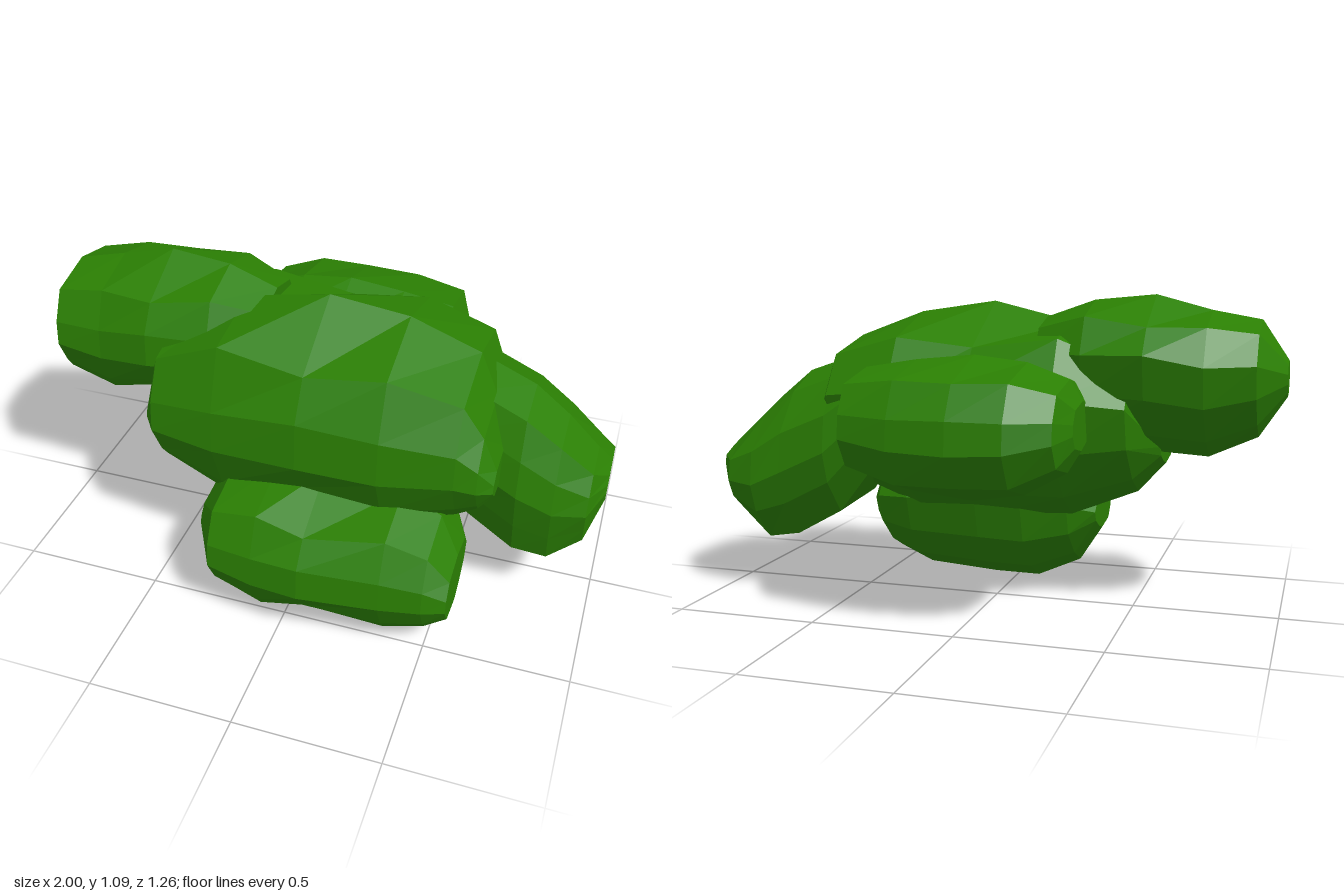
import * as THREE from 'three';

// Lumpy cross-sections as [z, y] in -1..1, from the upper front over the back to the front
const ROUND = [
  [0.74, 0.78], [-0.1, 1], [-0.74, 0.8], [-1, 0.3], [-0.96, -0.25],
  [-0.6, -0.76], [0, -1], [0.74, -0.74], [1, -0.2], [0.97, 0.25],
];
const KEELED = [
  [0.74, 0.8], [0, 1], [-0.72, 0.8], [-1, 0.3], [-0.86, -0.25],
  [-0.45, -0.74], [-0.05, -1], [0.7, -0.82], [0.82, -0.62], [1, -0.15], [0.96, 0.28],
];
const BOXY = [
  [0.74, 0.9], [0.08, 1], [-0.5, 0.78], [-0.93, 0.32], [-1, -0.15],
  [-0.86, -0.55], [-0.45, -1], [0.76, -0.92], [0.88, -0.5], [1, 0], [0.92, 0.45],
];

const leaf = new THREE.MeshStandardMaterial({ color: 0x2b8003, flatShading: true });

// Closed loft along x; each station is [x, yLow, yHigh, zBack, zFront, pinch],
// where pinch draws the corners of the section in towards its middle height
function clump(name, section, stations) {
  const n = section.length;
  const pos = [];
  const index = [];
  for (const [x, y0, y1, z0, z1, pinch = 0] of stations) {
    for (const [u, v] of section) {
      const corner = Math.abs(u) >= 0.7 && Math.abs(v) > 0.6;
      const h = corner ? v * (1 - pinch) : v;
      pos.push(x, (y0 + y1) / 2 + h * (y1 - y0) / 2, (z0 + z1) / 2 + u * (z1 - z0) / 2);
    }
  }
  for (let i = 0; i < stations.length - 1; i++) {
    for (let j = 0; j < n; j++) {
      const k = (j + 1) % n;
      const a = i * n + j, b = a + n, c = i * n + k, d = c + n;
      index.push(a, b, d, a, d, c);
    }
  }
  // End caps
  const first = stations[0], last = stations[stations.length - 1];
  for (const [x, y0, y1, z0, z1] of [first, last]) pos.push(x, (y0 + y1) / 2, (z0 + z1) / 2);
  const start = stations.length * n, end = start + 1, ring = start - n;
  for (let j = 0; j < n; j++) {
    const k = (j + 1) % n;
    index.push(start, j, k, end, ring + k, ring + j);
  }
  const geometry = new THREE.BufferGeometry();
  geometry.setAttribute('position', new THREE.Float32BufferAttribute(pos, 3));
  geometry.setIndex(index);
  geometry.computeVertexNormals();
  const mesh = new THREE.Mesh(geometry, leaf);
  mesh.name = name;
  return mesh;
}

export function createModel() {
  const group = new THREE.Group();
  group.name = 'foliage';

  group.add(clump('mainClump', KEELED, [
    [-0.59, 0.50, 0.62, -0.04, 0.26],
    [-0.50, 0.40, 0.90, -0.24, 0.40],
    [-0.27, 0.31, 0.99, -0.32, 0.43, -0.1],
    [0.03, 0.29, 1.06, -0.30, 0.455, 0.23],
    [0.30, 0.30, 1.02, -0.31, 0.44, 0.02],
    [0.54, 0.39, 0.93, -0.27, 0.40],
    [0.61, 0.45, 0.81, -0.16, 0.38],
    [0.66, 0.54, 0.67, 0.02, 0.35],
  ]));

  group.add(clump('rightClump', KEELED, [
    [-1.00, 0.76, 0.88, -0.07, 0.07],
    [-0.91, 0.62, 1.01, -0.21, 0.25],
    [-0.75, 0.55, 1.04, -0.26, 0.25],
    [-0.56, 0.56, 1.09, -0.28, 0.28, 0.22],
    [-0.35, 0.58, 1.07, -0.24, 0.25],
    [-0.18, 0.68, 1.01, -0.16, 0.18],
  ]));

  group.add(clump('leftClump', BOXY, [
    [0.35, 0.55, 0.94, -0.28, 0.08],
    [0.54, 0.31, 0.86, -0.31, 0.21],
    [0.72, 0.21, 0.80, -0.29, 0.24],
    [0.84, 0.19, 0.70, -0.28, 0.22],
    [0.95, 0.28, 0.59, -0.24, 0.18],
    [1.00, 0.42, 0.53, -0.17, 0.08],
  ]));

  group.add(clump('frontClump', KEELED, [
    [-0.33, 0.21, 0.34, 0.14, 0.43],
    [-0.24, 0.07, 0.46, 0.06, 0.59],
    [-0.08, 0.00, 0.50, 0.01, 0.61],
    [0.09, 0.00, 0.52, 0.00, 0.63, 0.25],
    [0.36, 0.02, 0.50, 0.02, 0.60],
    [0.50, 0.07, 0.45, 0.09, 0.58],
    [0.575, 0.14, 0.35, 0.24, 0.55],
  ]));

  // Turned around so its fuller side faces the back
  const back = clump('backClump', ROUND, [
    [-0.41, 0.57, 0.76, 0.18, 0.45],
    [-0.36, 0.50, 0.85, 0.12, 0.57],
    [-0.18, 0.44, 0.88, 0.08, 0.61],
    [0.02, 0.42, 0.90, 0.07, 0.63, 0.1],
    [0.20, 0.45, 0.88, 0.08, 0.62],
    [0.34, 0.53, 0.83, 0.13, 0.56],
    [0.38, 0.60, 0.76, 0.20, 0.45],
  ]);
  back.rotation.y = Math.PI;
  group.add(back);

  return group;
}
